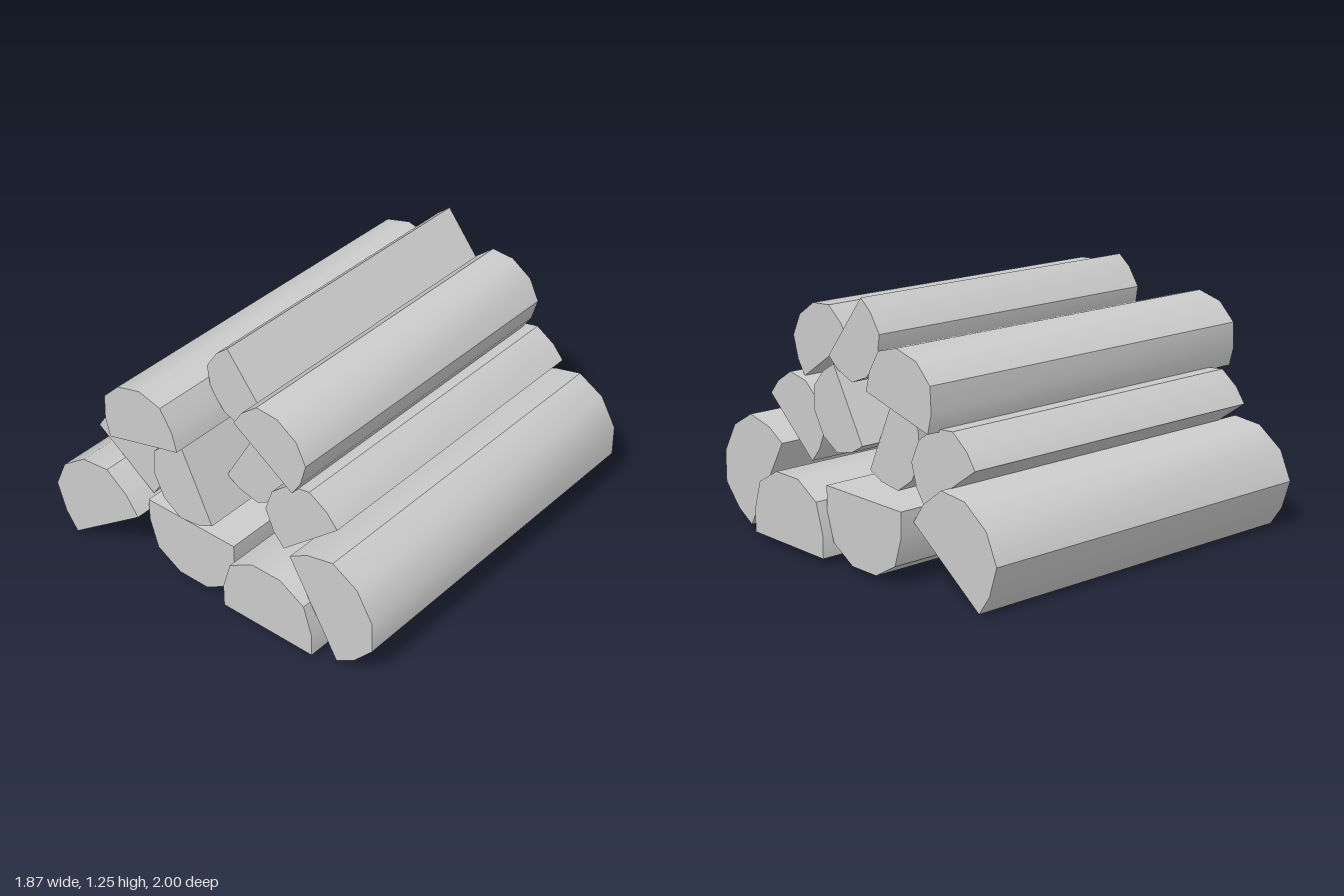
import * as THREE from 'three';
import { toCreasedNormals } from 'three/addons/utils/BufferGeometryUtils.js';

// Half of the bark outline for a split face one unit wide: [along the face, out from it]
const HALF_BARK = [[0, 0], [0, 0.22], [0.085, 0.49], [0.34, 0.637]];
const PROFILE = [...HALF_BARK, ...HALF_BARK.map(([u, v]) => [1 - u, v]).reverse()];

// Each log: split face from one edge [x, y] to the other (bark on its left side), back z, front z
const LOGS = {
  groundLogRight: [-0.83, 0, -0.40, 0.305, -0.88, 0.98],
  groundLogCentre: [0.13, 0.365, -0.40, 0.365, -0.95, 0.905],
  groundLogCentreLeft: [0.10, 0.035, 0.625, 0.035, -1, 0.95],
  groundLogLeft: [0.465, 0.49, 0.73, 0.035, -0.95, 0.905],
  middleLogRight: [-0.75, 0.60, -0.415, 0.365, -0.83, 0.855],
  middleLogCentreRight: [0.015, 0.432, -0.16, 0.805, -0.79, 0.92],
  middleLogCentreLeft: [0.14, 0.915, -0.06, 0.575, -0.89, 0.73],
  middleLogLeft: [0.35, 0.415, 0.66, 0.68, -0.865, 0.815],
  topLogRight: [-0.52, 0.725, -0.10, 0.835, -0.895, 1],
  topLogCentre: [0.18, 0.945, -0.06, 1.245, -0.885, 0.70],
  topLogLeft: [0.11, 1.015, 0.44, 0.795, -0.83, 0.855],
};

// Half-round prism laid along z, with softly shaded bark and sharp split face and ends
function makeLog(name, [x1, y1, x2, y2, back, front], material) {
  const dx = x2 - x1;
  const dy = y2 - y1;
  const outline = PROFILE.map(([u, v]) => new THREE.Vector2(x1 + u * dx - v * dy, y1 + u * dy + v * dx));
  const prism = new THREE.ExtrudeGeometry(new THREE.Shape(outline), {
    depth: front - back,
    bevelEnabled: false,
  });
  prism.translate(0, 0, back);
  const log = new THREE.Mesh(toCreasedNormals(prism, THREE.MathUtils.degToRad(36)), material);
  log.name = name;
  return log;
}

export function createModel() {
  const pile = new THREE.Group();
  pile.name = 'firewoodPile';
  const wood = new THREE.MeshStandardMaterial({ color: 0xcccccc });
  for (const [name, placement] of Object.entries(LOGS)) {
    pile.add(makeLog(name, placement, wood));
  }
  return pile;
}
